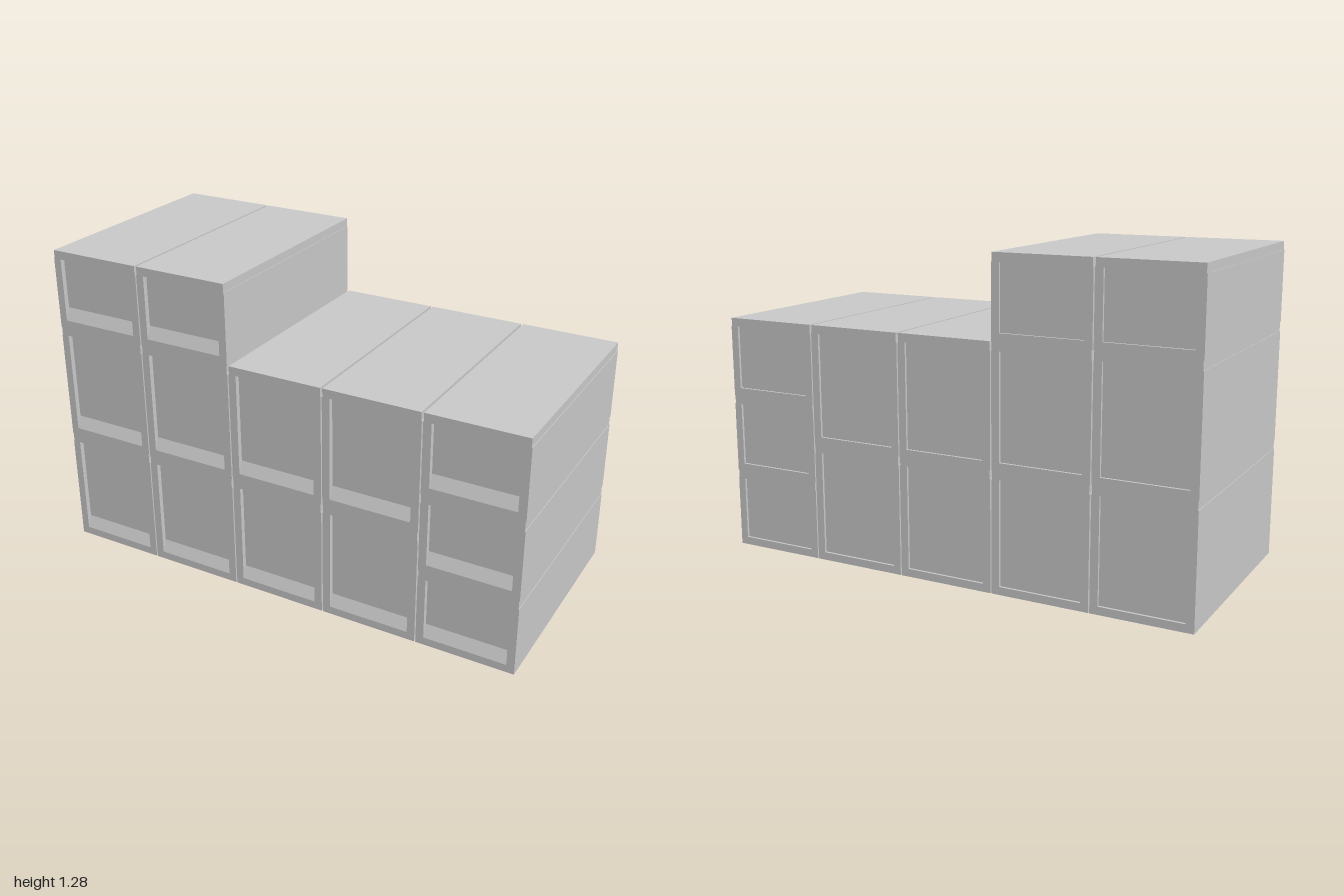
import * as THREE from 'three';

const PITCH = 0.401, W = 0.396, D = 0.93;   // column spacing, box width, box depth
const LID_W = 0.391, LID_H = 0.034, WALL = 0.032;
const FRONT_INSET = 0.02, BACK_INSET = 0.01, LIP_H = 0.05;
const TALL = 0.481, SHORT = 0.3207;

const material = new THREE.MeshStandardMaterial({ color: 0xcccccc, flatShading: true });

function part(name, geometry, x = 0, y = 0, z = 0) {
  const mesh = new THREE.Mesh(geometry, material);
  mesh.name = name;
  mesh.position.set(x, y, z);
  return mesh;
}

function outline(points) {
  return new THREE.Shape(points.map(([x, y]) => new THREE.Vector2(x, y)));
}

// One storage box with its base at y = 0
function createBox(height) {
  const box = new THREE.Group();
  const bodyH = height - LID_H, inner = W / 2 - WALL;

  // U-shaped shell: two side walls and a floor running front to back
  const shell = new THREE.ExtrudeGeometry(outline([
    [-W / 2, 0], [W / 2, 0], [W / 2, bodyH], [inner, bodyH],
    [inner, WALL], [-inner, WALL], [-inner, bodyH], [-W / 2, bodyH],
  ]), { depth: D, bevelEnabled: false });
  shell.translate(0, 0, -D / 2);
  box.add(part('shell', shell));

  // Recessed front and back panels, as the ends of one drawer block
  const coreD = D - FRONT_INSET - BACK_INSET;
  box.add(part('drawer', new THREE.BoxGeometry(inner * 2, bodyH - WALL, coreD),
    0, (bodyH + WALL) / 2, (BACK_INSET - FRONT_INSET) / 2));

  // Sloping lip along the bottom of the front panel
  const lip = new THREE.ExtrudeGeometry(
    outline([[0, 0], [FRONT_INSET, 0], [0, LIP_H]]),
    { depth: inner * 2, bevelEnabled: false });
  lip.rotateY(-Math.PI / 2);
  lip.translate(inner, 0, 0);
  box.add(part('frontLip', lip, 0, WALL, D / 2 - FRONT_INSET));

  // Lid, a little narrower than the body
  box.add(part('lid', new THREE.BoxGeometry(LID_W, LID_H, D), 0, height - LID_H / 2, 0));
  return box;
}

export function createModel() {
  const model = new THREE.Group();
  model.name = 'storageBoxStack';

  // Box heights in each column, bottom to top
  const columns = [
    [TALL, TALL, SHORT],
    [TALL, TALL, SHORT],
    [TALL, TALL],
    [TALL, TALL],
    [SHORT, SHORT, SHORT],
  ];
  columns.forEach((heights, c) => {
    let y = 0;
    heights.forEach((height, r) => {
      const box = createBox(height);
      box.name = `storageBoxColumn${c + 1}Row${r + 1}`;
      box.position.set((c - 2) * PITCH, y, 0);
      model.add(box);
      y += height;
    });
  });
  return model;
}
